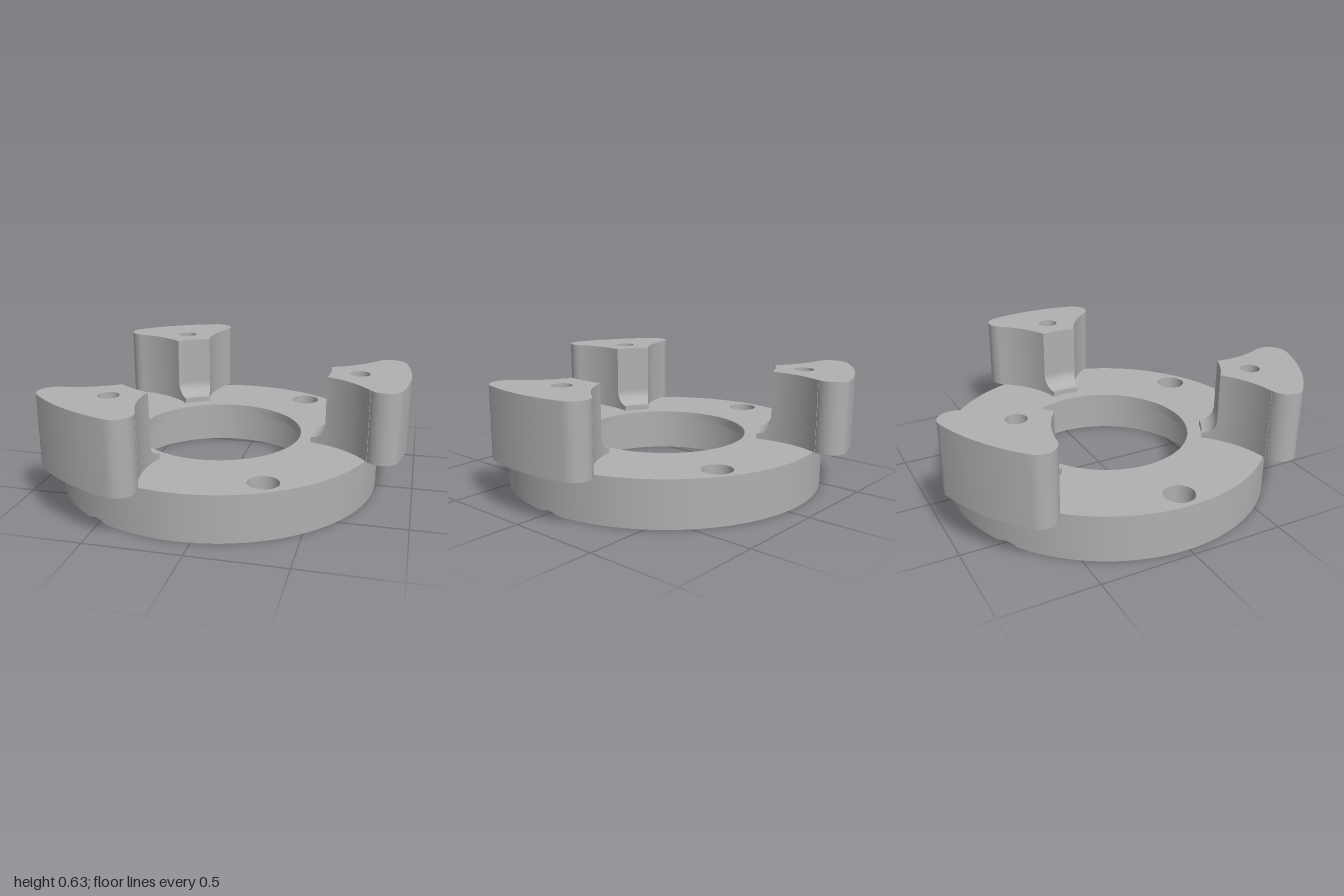
import * as THREE from 'three';
import { toCreasedNormals } from 'three/addons/utils/BufferGeometryUtils.js';

const DEG = Math.PI / 180;
const RIM = 0.878, LIP = 0.455, BORE = 0.527;      // disc radii
const DISC_TOP = 0.25, LIP_BOTTOM = 0.2, JAW_TOP = 0.63;
const BOLT = 0.767, SCREW = 0.053, SINK = 0.125, PIN = 0.08; // bolt circle and hole radii
const OUTER = 1.033, INNER = 0.612, FOOT = 0.53;   // jaw radii about the disc axis
const FLANK = { x: 0.421, y: 0.574, r: 0.508 };    // concave side of a jaw
const TIP = { x: 0.915, y: 0.237, r: 0.088 };      // rounded jaw tip

const metal = new THREE.MeshStandardMaterial({ color: 0xb0b0b0, side: THREE.DoubleSide });
metal.name = 'grey metal';

function mesh(name, geometry, parent) {
  const m = new THREE.Mesh(geometry, metal);
  m.name = name;
  parent.add(m);
  return m;
}

function lathe(points, segments = 64, start = 0, length = Math.PI * 2) {
  const pts = points.map(([x, y]) => new THREE.Vector2(x, y));
  return toCreasedNormals(new THREE.LatheGeometry(pts, segments, start, length), 0.5);
}

function circlePath(x, y, r) {
  return new THREE.Path().absarc(x, y, r, 0, Math.PI * 2, true);
}

// Half angle of a jaw, seen from the axis, where its flank crosses radius r
function flankAngle(r) {
  const d = Math.hypot(FLANK.x, FLANK.y);
  return Math.atan2(FLANK.y, FLANK.x) - Math.acos((r * r + d * d - FLANK.r ** 2) / (2 * r * d));
}

function jawShape() {
  const outer = Math.atan2(TIP.y, TIP.x);
  const join = Math.atan2(FLANK.y - TIP.y, FLANK.x - TIP.x);
  const a = flankAngle(INNER);
  const end = Math.atan2(INNER * Math.sin(a) - FLANK.y, INNER * Math.cos(a) - FLANK.x);
  const s = new THREE.Shape();
  s.absarc(0, 0, OUTER, -outer, outer, false);
  s.absarc(TIP.x, TIP.y, TIP.r, outer, join, false);
  s.absarc(FLANK.x, FLANK.y, FLANK.r, join - Math.PI, end, true);
  s.absarc(0, 0, INNER, a, -a, true);
  s.absarc(FLANK.x, -FLANK.y, FLANK.r, -end, Math.PI - join, true);
  s.absarc(TIP.x, -TIP.y, TIP.r, -join, -outer, false);
  s.holes.push(circlePath(BOLT, 0, SCREW));
  return s;
}

// Filleted foot: a box bent around the axis, its top swept up into the jaw
function footGeometry() {
  const g = new THREE.BoxGeometry(1, 1, 1, 12, 1, 8);
  const p = g.attributes.position;
  for (let i = 0; i < p.count; i++) {
    const t = (p.getX(i) + 0.5) * Math.PI / 2;
    const r = FOOT + (INNER - FOOT) * Math.sin(t);
    const angle = p.getZ(i) * 2 * flankAngle(r);
    const y = p.getY(i) > 0 ? 0.36 - 0.08 * Math.cos(t) : DISC_TOP;
    p.setXYZ(i, r * Math.cos(angle), y, r * Math.sin(angle));
  }
  return toCreasedNormals(g, 0.5);
}

// Countersink cone, trimmed where it breaks through the rim
function countersinkGeometry() {
  const g = new THREE.LatheGeometry(
    [new THREE.Vector2(SCREW, SINK - SCREW), new THREE.Vector2(SINK, 0)], 96);
  const p = g.attributes.position;
  for (let i = 0; i < p.count; i++) {
    const a = Math.atan2(p.getZ(i), p.getX(i));
    const toRim = -BOLT * Math.cos(a) + Math.sqrt(RIM ** 2 - (BOLT * Math.sin(a)) ** 2);
    const d = Math.min(Math.hypot(p.getX(i), p.getZ(i)), toRim);
    p.setXYZ(i, d * Math.cos(a), SINK - d, d * Math.sin(a));
  }
  return g;
}

// Outer wall with its lower edge notched by the countersinks
function rimGeometry() {
  const g = new THREE.CylinderGeometry(RIM, RIM, DISC_TOP, 360, 1, true);
  g.translate(0, DISC_TOP / 2, 0);
  const p = g.attributes.position;
  for (let i = 0; i < p.count; i++) {
    if (p.getY(i) > 0.1) continue;
    let y = 0;
    for (let k = 0; k < 3; k++) {
      const a = k * 120 * DEG;
      const d = Math.hypot(p.getX(i) - BOLT * Math.cos(a), p.getZ(i) - BOLT * Math.sin(a));
      y = Math.max(y, SINK - d);
    }
    p.setY(i, y);
  }
  return g;
}

function topFace() {
  const s = new THREE.Shape().absarc(0, 0, RIM, 0, Math.PI * 2, false);
  s.holes.push(circlePath(0, 0, LIP));
  for (let k = 0; k < 6; k++) {
    const a = k * 60 * DEG;
    s.holes.push(circlePath(BOLT * Math.cos(a), BOLT * Math.sin(a), k % 2 ? PIN : SCREW));
  }
  return new THREE.ShapeGeometry(s, 120).rotateX(-Math.PI / 2).translate(0, DISC_TOP, 0);
}

function bottomFace() {
  const c = Math.acos((RIM ** 2 + BOLT ** 2 - SINK ** 2) / (2 * RIM * BOLT));
  const local = Math.atan2(RIM * Math.sin(c), RIM * Math.cos(c) - BOLT);
  const s = new THREE.Shape();
  for (let k = 0; k < 3; k++) {
    const a = k * 120 * DEG, b = a + 120 * DEG;
    s.absarc(0, 0, RIM, a + c, b - c, false);
    s.absarc(BOLT * Math.cos(b), BOLT * Math.sin(b), SINK, b - local, b + local, true);
  }
  s.holes.push(circlePath(0, 0, BORE));
  return new THREE.ShapeGeometry(s, 90).rotateX(Math.PI / 2);
}

export function createModel() {
  const model = new THREE.Group();
  model.name = 'threeJawPlate';
  model.position.x = -0.078;

  // Base disc with a stepped bore
  const disc = new THREE.Group();
  disc.name = 'baseDisc';
  model.add(disc);
  mesh('discRim', rimGeometry(), disc);
  mesh('discTop', topFace(), disc);
  mesh('discBottom', bottomFace(), disc);
  mesh('steppedBore', lathe(
    [[LIP, DISC_TOP], [LIP, LIP_BOTTOM], [BORE, LIP_BOTTOM], [BORE, 0]], 120), disc);

  const jawGeo = toCreasedNormals(new THREE.ExtrudeGeometry(jawShape(),
    { depth: JAW_TOP - DISC_TOP, bevelEnabled: false, curveSegments: 28 }), 0.5);
  jawGeo.rotateX(-Math.PI / 2).translate(0, DISC_TOP, 0);
  const footGeo = footGeometry();
  const sinkGeo = countersinkGeometry();
  const screwGeo = lathe([[SCREW, DISC_TOP], [SCREW, SINK - SCREW]], 48);
  const pinGeo = lathe([[PIN, DISC_TOP], [PIN, 0.1], [0, 0.1]], 48);
  const half = flankAngle(RIM);
  const chamferGeo = lathe([[RIM, 0.232], [0.898, DISC_TOP]], 24, Math.PI / 2 - half, 2 * half);

  for (let k = 0; k < 3; k++) {
    // Jaw with its foot, under-edge chamfer and countersunk screw hole
    const jaw = new THREE.Group();
    jaw.name = 'jaw';
    jaw.rotation.y = k * 120 * DEG;
    model.add(jaw);
    mesh('jawBody', jawGeo, jaw);
    mesh('jawFoot', footGeo, jaw);
    mesh('jawChamfer', chamferGeo, jaw);
    mesh('screwHole', screwGeo, jaw).position.x = BOLT;
    mesh('countersink', sinkGeo, jaw).position.x = BOLT;

    // Blind pin hole between the jaws
    const a = (60 + k * 120) * DEG;
    mesh('pinHole', pinGeo, disc).position.set(BOLT * Math.cos(a), 0, BOLT * Math.sin(a));
  }
  return model;
}
